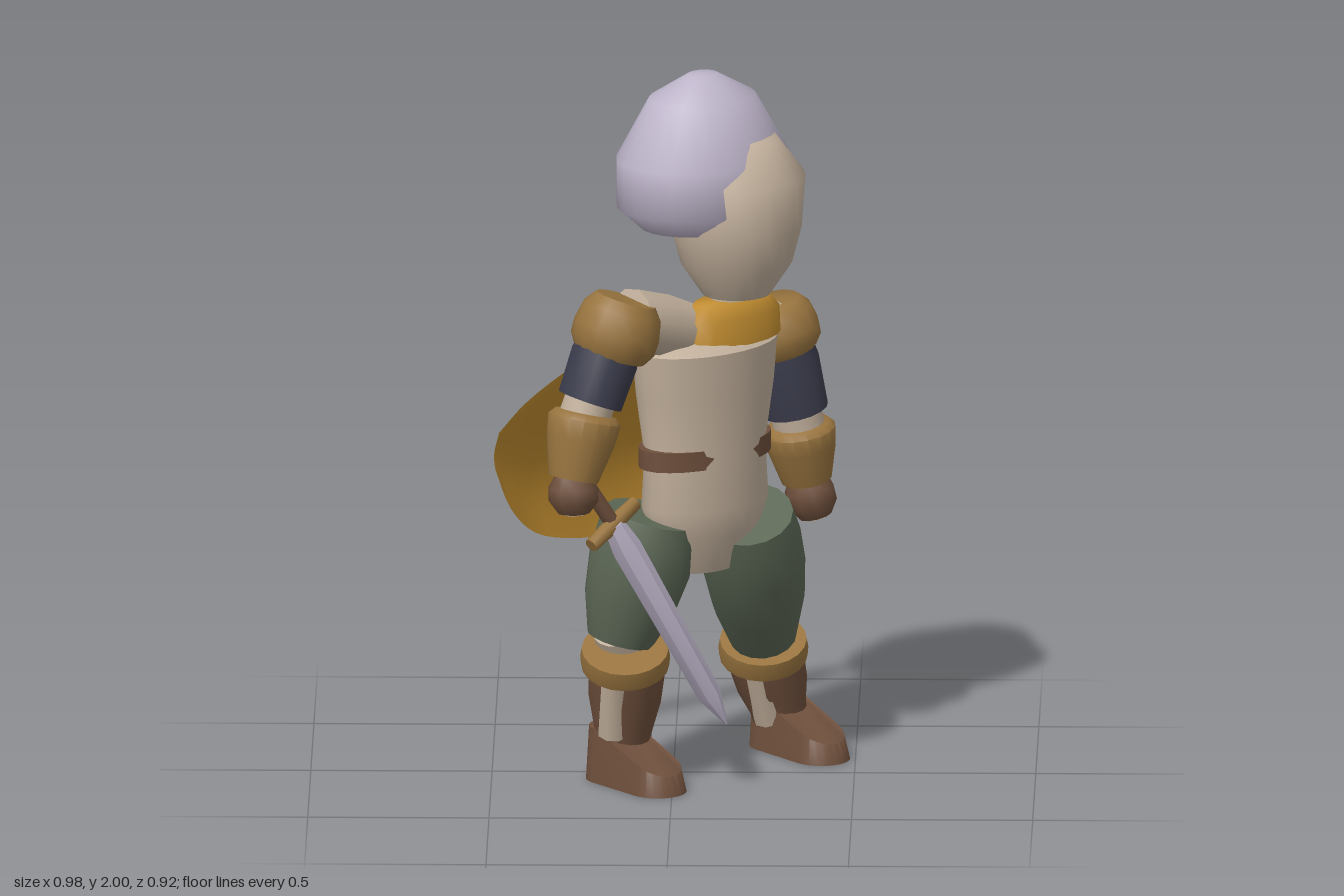
import * as THREE from 'three';
import { toCreasedNormals } from 'three/addons/utils/BufferGeometryUtils.js';

const UP = new THREE.Vector3(0, 1, 0);
const TURN = Math.PI / 4; // the body faces between +x and +z

function material(name, color) {
  const m = new THREE.MeshStandardMaterial({ color });
  m.name = name;
  return m;
}

export function createModel() {
  const model = new THREE.Group();
  model.name = 'knight';
  const lilac = material('lilac steel', 0xbdb4c9);
  const skin = material('pale beige', 0xc2b09c);
  const gold = material('gold', 0xc08c30);
  const tan = material('tan leather', 0x98743f);
  const brown = material('brown leather', 0x6e4f3c);
  const green = material('green cloth', 0x5c6755);
  const navy = material('navy cloth', 0x3b3c4c);

  function add(name, geometry, mat, parent = model) {
    const mesh = new THREE.Mesh(geometry, mat);
    mesh.name = name;
    parent.add(mesh);
    return mesh;
  }

  // Closed solid of revolution from [radius, height] pairs, bottom to top
  function turned(profile, sides) {
    const points = profile.map(([r, y]) => new THREE.Vector2(r, y));
    return toCreasedNormals(new THREE.LatheGeometry(points, sides), 0.9);
  }

  // Turned part running from point a to point b; profile is [radius, fraction]
  function limb(name, mat, a, b, profile, parent = model, sides = 16) {
    const from = new THREE.Vector3(...a);
    const dir = new THREE.Vector3(...b).sub(from);
    const length = dir.length();
    const pts = profile.map(([r, t]) => [r, t * length]);
    const closed = [[0, pts[0][1]], ...pts, [0, pts[pts.length - 1][1]]];
    const mesh = add(name, turned(closed, sides), mat, parent);
    mesh.position.copy(from);
    mesh.quaternion.setFromUnitVectors(UP, dir.normalize());
    return mesh;
  }

  // Upright turned part, wide across the shoulders and thinner front to back
  function trunk(name, mat, x, z, profile, depth, sides = 24) {
    const mesh = add(name, turned(profile, sides), mat);
    mesh.position.set(x, 0, z);
    mesh.rotation.y = TURN;
    mesh.scale.z = depth;
    return mesh;
  }

  // Head, helmet and collar
  trunk('head', skin, 0.174, 0.035, [[0, 1.375], [0.095, 1.38], [0.155, 1.47], [0.181, 1.57],
    [0.191, 1.72], [0.11, 1.83], [0, 1.835]], 1);
  trunk('helmet', lilac, 0.08, 0.01, [[0, 1.575], [0.19, 1.575], [0.258, 1.635], [0.258, 1.77],
    [0.16, 1.935], [0.045, 1.998], [0, 2]], 0.83);
  trunk('neck', skin, 0.16, 0.065, [[0, 1.28], [0.06, 1.28], [0.06, 1.42], [0, 1.42]], 1);
  trunk('collar', gold, 0.16, 0.075, [[0, 1.26], [0.172, 1.26], [0.168, 1.335], [0.13, 1.375],
    [0, 1.375]], 0.5, 16);

  // Torso, shoulders and belt
  trunk('torso', skin, 0.088, 0.07, [[0, 0.61], [0.115, 0.61], [0.185, 0.72], [0.207, 0.8],
    [0.198, 0.95], [0.225, 1.12], [0.238, 1.25], [0.2, 1.27], [0.1, 1.29], [0, 1.29]], 0.64);
  limb('rightShoulder', skin, [-0.12, 1.37, 0.28], [0.08, 1.27, 0.08], [[0.085, 0], [0.09, 0.4], [0.075, 1]], model, 10);
  limb('leftShoulder', skin, [0.27, 1.25, -0.11], [0.12, 1.26, 0.04], [[0.075, 0], [0.085, 0.4], [0.075, 1]], model, 10);
  trunk('belt', brown, 0.088, 0.07, [[0, 0.92], [0.225, 0.92], [0.225, 0.975], [0, 0.975]], 0.552);

  // Arms: shoulder, elbow, wrist and fist of each side
  const arms = {
    right: { shoulder: [-0.15, 1.37, 0.31], elbow: [-0.235, 1.12, 0.355], wrist: [-0.27, 0.94, 0.39],
      fist: [-0.268, 0.845, 0.395], cap: [[-0.125, 1.43, 0.3], [-0.172, 1.275, 0.318]] },
    left: { shoulder: [0.28, 1.26, -0.13], elbow: [0.342, 0.955, -0.16], wrist: [0.365, 0.79, -0.18],
      fist: [0.39, 0.685, -0.182], cap: [[0.262, 1.31, -0.126], [0.296, 1.17, -0.138]] },
  };
  for (const [side, p] of Object.entries(arms)) {
    const arm = new THREE.Group();
    arm.name = side + 'Arm';
    model.add(arm);
    limb('pauldron', tan, p.cap[0], p.cap[1],
      [[0.085, 0], [0.11, 0.2], [0.122, 0.55], [0.12, 0.8], [0.1, 1]], arm);
    limb('sleeve', navy, p.shoulder, p.elbow, [[0.08, 0.1], [0.096, 0.4], [0.092, 0.87]], arm);
    limb('elbow', skin, p.shoulder, p.elbow, [[0.072, 0.8], [0.072, 1.1]], arm);
    limb('bracer', tan, p.elbow, p.wrist, [[0.085, 0], [0.102, 0.1], [0.096, 0.4], [0.07, 1]], arm);
    limb('glove', brown, p.wrist, p.fist, [[0.05, -0.1], [0.07, 0.25], [0.07, 0.65], [0.045, 1]], arm, 10);
    limb('fingers', skin, p.wrist, p.fist, [[0.038, 0.9], [0.036, 1.04]], arm, 8);
  }

  // Foot with a sole rounded at both ends, drawn in at the ankle and sloping to the toe
  function foot(heel, toe, parent) {
    const dx = toe[0] - heel[0], dz = toe[1] - heel[1], length = Math.hypot(dx, dz);
    const shape = new THREE.Shape();
    shape.absarc(0, 0, 0.08, Math.PI, 2 * Math.PI, false);
    shape.absarc(0, length, 0.08, 0, Math.PI, false);
    const geo = new THREE.ExtrudeGeometry(shape, { depth: 0.15, bevelEnabled: false, curveSegments: 10 });
    geo.rotateX(Math.PI / 2).translate(0, 0.15, 0);
    const pos = geo.attributes.position;
    for (let i = 0; i < pos.count; i++) {
      if (pos.getY(i) < 0.07) continue;
      const t = THREE.MathUtils.clamp(pos.getZ(i) / (length + 0.08), 0, 1);
      pos.setXYZ(i, pos.getX(i) * 0.85, 0.15 - 0.095 * t, pos.getZ(i) * 0.95);
    }
    const mesh = add('foot', toCreasedNormals(geo, 1.2), brown, parent);
    mesh.position.set(heel[0], 0, heel[1]);
    mesh.rotation.y = Math.atan2(dx, dz);
  }

  // Legs: hip, knee, ankle and foot of each side
  const legs = {
    right: { hip: [-0.055, 0.775, 0.15], knee: [-0.145, 0.42, 0.145], ring: [-0.13, 0.375, 0.165],
      top: [-0.125, 0.36, 0.1], ankle: [-0.14, 0.1, 0.06], heel: [-0.16, 0.065], toe: [-0.04, 0.205],
      shin: [[-0.155, 0.31, 0.168], [-0.165, 0.14, 0.118]] },
    left: { hip: [0.205, 0.745, 0.03], knee: [0.245, 0.34, -0.19], ring: [0.245, 0.305, -0.205],
      top: [0.245, 0.29, -0.245], ankle: [0.29, 0.09, -0.285], heel: [0.285, -0.295], toe: [0.405, -0.15],
      shin: [[0.23, 0.26, -0.18], [0.26, 0.09, -0.235]] },
  };
  for (const [side, p] of Object.entries(legs)) {
    const leg = new THREE.Group();
    leg.name = side + 'Leg';
    model.add(leg);
    limb('thigh', green, p.hip, p.knee, [[0.127, 0], [0.14, 0.15], [0.143, 0.4], [0.128, 0.7], [0.093, 1]], leg);
    limb('knee', skin, p.knee.map((v, i) => v + (i === 1 ? 0.03 : 0)), p.top, [[0.078, 0], [0.078, 1]], leg);
    const [x, y, z] = p.ring;
    limb('kneeGuard', tan, [x, y - 0.025, z - 0.011], [x, y + 0.025, z + 0.011],
      [[0.122, 0], [0.124, 0.5], [0.12, 1]], leg, 20);
    limb('bootShaft', brown, p.top, p.ankle, [[0.11, 0], [0.1, 0.5], [0.08, 0.85], [0.078, 1]], leg);
    limb('shin', skin, p.shin[0], p.shin[1], [[0.043, 0], [0.043, 1]], leg, 8);
    foot(p.heel, p.toe, leg);
  }

  // Sword held in the right hand
  const sword = new THREE.Group();
  sword.name = 'sword';
  model.add(sword);
  limb('grip', brown, [-0.235, 0.92, 0.358], [-0.155, 0.785, 0.325], [[0.022, 0], [0.022, 1]], sword, 8);
  limb('crossguard', tan, [-0.22, 0.75, 0.392], [-0.1, 0.84, 0.268], [[0.02, 0], [0.024, 0.5], [0.02, 1]], sword, 8);
  limb('blade', lilac, [-0.16, 0.795, 0.33], [0.15, 0.19, 0.195],
    [[0.03, 0], [0.042, 0.12], [0.034, 0.85], [0.003, 1]], sword, 6);

  // Shield on the back, spanned between two edge curves of (across, height, distance behind)
  const edge = (pts) => new THREE.CatmullRomCurve3(pts.map((p) => new THREE.Vector3(...p)));
  const upper = edge([[-0.62, 1.14, 0.113], [-0.55, 1.16, 0.118], [-0.4, 1.19, 0.125], [-0.05, 1.25, 0.108],
    [0.08, 1.27, 0.09], [0.3, 1.17, 0.17], [0.47, 1.07, 0.24], [0.57, 0.99, 0.275]]);
  const lower = edge([[-0.61, 0.95, 0.2], [-0.55, 0.76, 0.255], [-0.4, 0.655, 0.3], [-0.05, 0.61, 0.325],
    [0.08, 0.615, 0.33], [0.3, 0.66, 0.33], [0.47, 0.76, 0.305], [0.57, 0.88, 0.288]]);
  const columns = 28, rows = 10, verts = [], index = [];
  for (let c = 0; c <= columns; c++) {
    const top = upper.getPoint(c / columns), bottom = lower.getPoint(c / columns);
    for (let r = 0; r <= rows; r++) {
      const t = r / rows;
      const p = top.clone().lerp(bottom, t);
      const bulge = 0.105 * (top.y - bottom.y) * Math.sin(Math.PI * t ** 1.3);
      const d = Math.SQRT2 * (p.z + bulge);
      verts.push((-d - p.x) / 2, p.y, (-d + p.x) / 2);
      if (c && r) {
        const k = c * (rows + 1) + r, j = k - rows - 1;
        index.push(j - 1, j, k, j - 1, k, k - 1);
      }
    }
  }
  const sheet = new THREE.BufferGeometry();
  sheet.setAttribute('position', new THREE.Float32BufferAttribute(verts, 3));
  sheet.setIndex(index);
  sheet.computeVertexNormals();
  gold.side = THREE.DoubleSide;
  add('shield', sheet, gold);

  return model;
}
